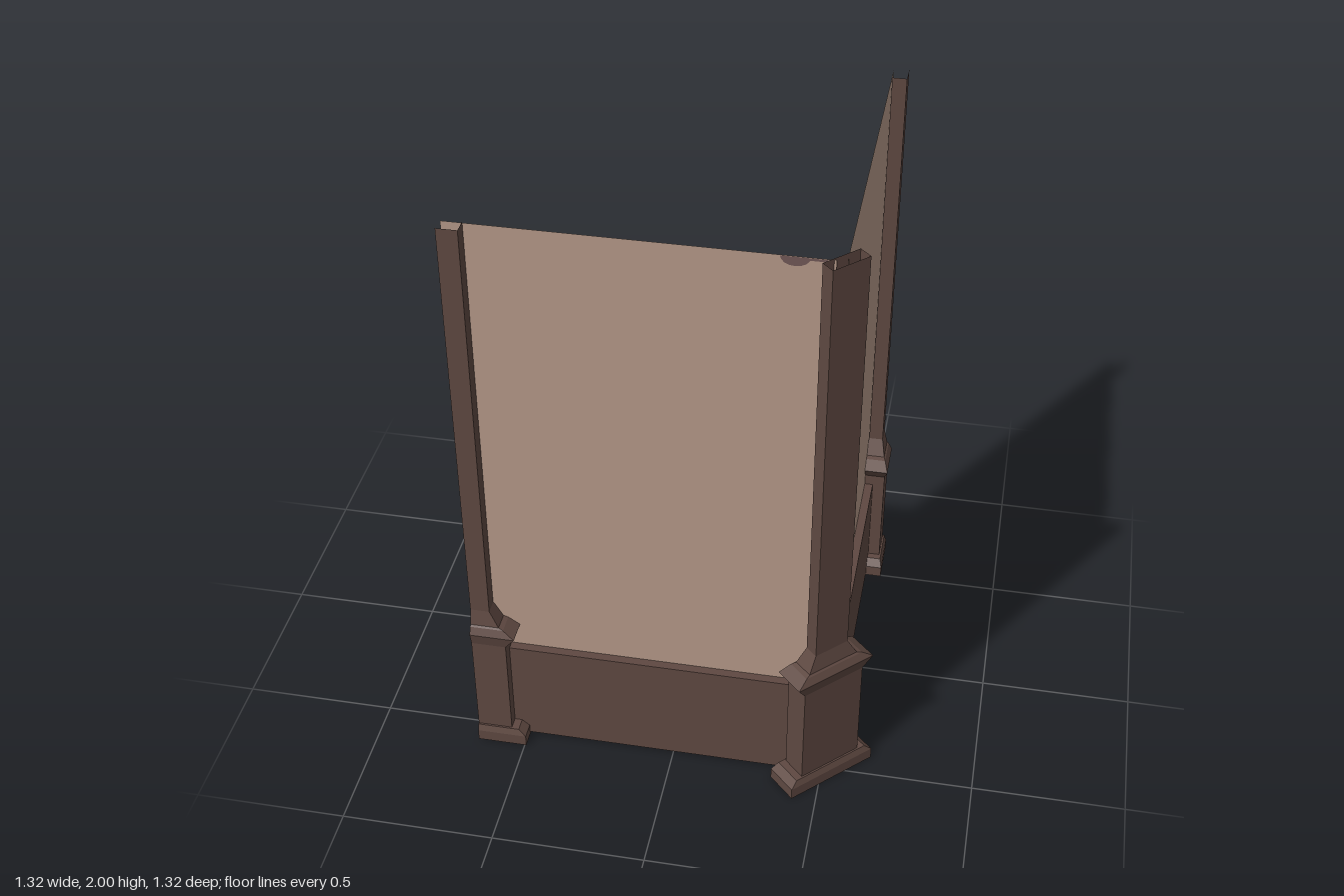
import * as THREE from 'three';

const material = (name, color) => {
  const m = new THREE.MeshStandardMaterial({ color, side: THREE.DoubleSide });
  m.name = name;
  return m;
};

// Post profile: height, half length, half depth
const PROFILE = [
  [0, 0.165, 0.058], [0.04, 0.165, 0.058], [0.062, 0.14, 0.05],
  [0.062, 0.115, 0.044], [0.43, 0.115, 0.044], [0.475, 0.148, 0.055],
  [0.5, 0.11, 0.042], [0.505, 0.094, 0.036], [0.56, 0.063, 0.024], [2, 0.066, 0.0235],
];

// Hollow post: sweeps a unit outline up the profile, one flat face per side
function postGeometry(outline) {
  const positions = [];
  const point = ([u, v], [y, l, d]) => [u * l, y, v * d];
  for (let i = 0; i < PROFILE.length - 1; i++) {
    for (let j = 0; j < outline.length - 1; j++) {
      const a = point(outline[j], PROFILE[i]);
      const b = point(outline[j + 1], PROFILE[i]);
      const c = point(outline[j + 1], PROFILE[i + 1]);
      const d = point(outline[j], PROFILE[i + 1]);
      positions.push(...a, ...b, ...c, ...a, ...c, ...d);
    }
  }
  const geometry = new THREE.BufferGeometry();
  geometry.setAttribute('position', new THREE.Float32BufferAttribute(positions, 3));
  geometry.computeVertexNormals();
  return geometry;
}

export function createModel() {
  const group = new THREE.Group();
  const wood = material('dark brown wood', 0x5e4841);
  const plaster = material('tan plaster', 0xb39787);
  const stain = material('dull brown stain', 0x6f5755);

  const add = (parent, name, geometry, mat, x = 0, y = 0, z = 0, turn = 0) => {
    const mesh = new THREE.Mesh(geometry, mat);
    mesh.name = name;
    mesh.position.set(x, y, z);
    mesh.rotation.y = turn;
    parent.add(mesh);
    return mesh;
  };

  // Walls: thin pane with a deeper skirting board on the outside
  const LENGTH = 1.13, BACK = 0.499, FRONT = 0.528, SEAM = 0.39, FOOT = 0.01, TOP = 1.995;
  const wall = (name, centre, turn) => {
    const w = new THREE.Group();
    w.name = name;
    w.rotation.y = turn;
    const upper = new THREE.PlaneGeometry(LENGTH, TOP - SEAM);
    const lower = new THREE.PlaneGeometry(LENGTH, SEAM - FOOT);
    const ledge = new THREE.PlaneGeometry(LENGTH, FRONT - BACK).rotateX(-Math.PI / 2);
    add(w, 'upperPane', upper, plaster, centre, (TOP + SEAM) / 2, BACK);
    add(w, 'lowerBacking', lower, plaster, centre, (SEAM + FOOT) / 2, BACK);
    add(w, 'skirtingFront', lower, wood, centre, (SEAM + FOOT) / 2, FRONT);
    add(w, 'skirtingLedge', ledge, wood, centre, SEAM, (FRONT + BACK) / 2);
    group.add(w);
    return w;
  };
  const frontWall = wall('frontWall', -0.095, 0);
  wall('sideWall', 0.095, Math.PI / 2);

  // Small mark at the top of the front wall, seen from both sides
  const mark = new THREE.CircleGeometry(0.043, 8, Math.PI, Math.PI).scale(1, 0.7, 1);
  for (const offset of [-0.002, 0.002]) {
    add(frontWall, 'topMark', mark, stain, 0.355, 1.994, BACK + offset);
    add(frontWall, 'topMarkStrip', new THREE.PlaneGeometry(0.05, 0.008), stain, 0.42, 1.99, BACK + offset);
  }

  // Full corner post set diagonally, half posts on the wall ends
  const full = [[-1, 1], [1, 1], [1, -1], [-1, -1], [-1, 1]];
  add(group, 'cornerPost', postGeometry(full), wood, 0.4975, 0, 0.4975, Math.PI / 4);
  add(group, 'rightEndPost', postGeometry([[0, 1], [1, 1], [1, -1]]), wood, -0.66, 0, 0.525);
  add(group, 'backEndPost', postGeometry([[-1, -1], [-1, 1], [0, 1]]), wood, 0.525, 0, -0.66, Math.PI / 2);

  return group;
}
